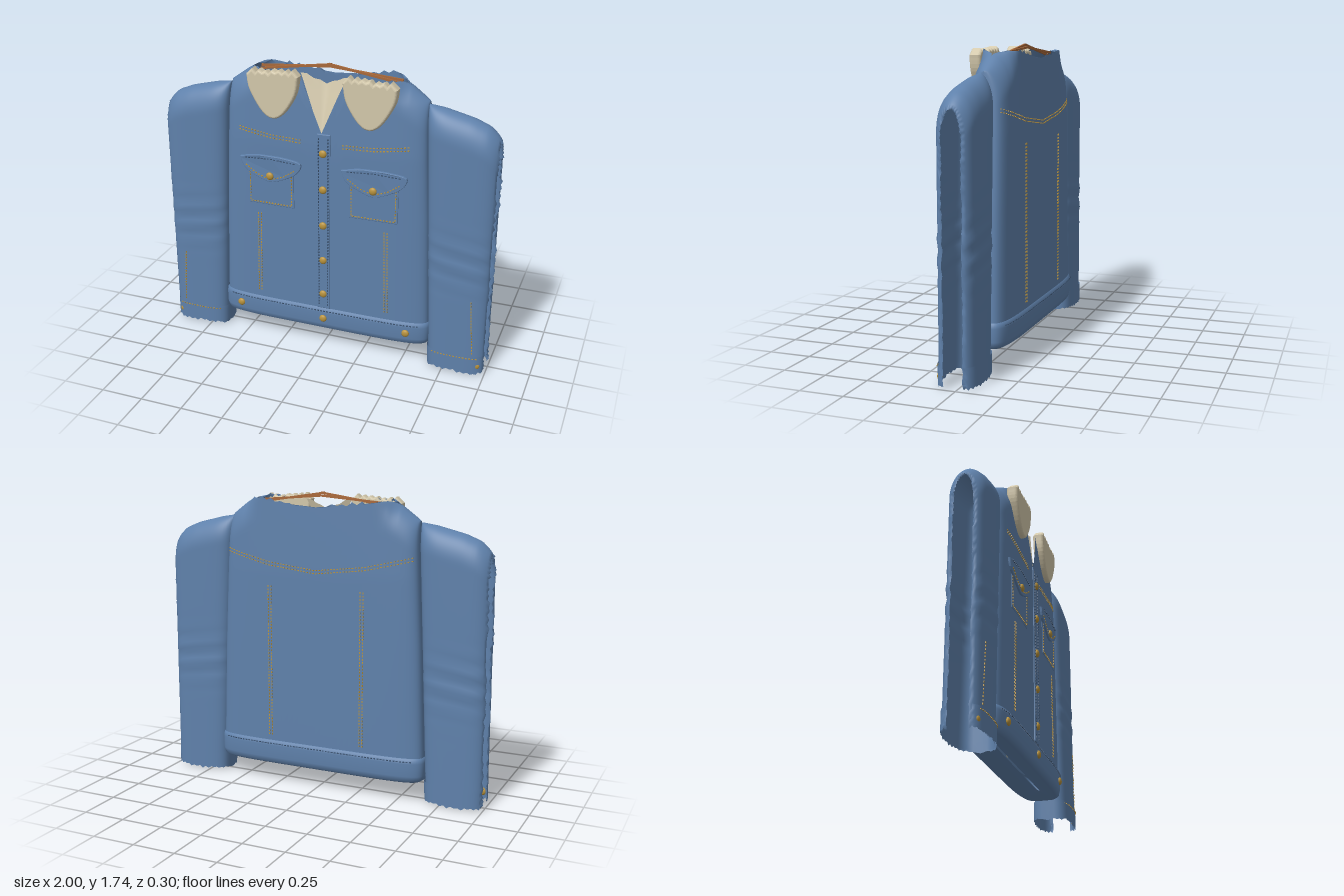
import * as THREE from 'three';
import { mergeGeometries } from 'three/addons/utils/BufferGeometryUtils.js';

const mat = (name, color, side = THREE.FrontSide) => {
  const m = new THREE.MeshStandardMaterial({ color, side });
  m.name = name;
  return m;
};

// Piecewise linear lookup in a short list of [input, output] pairs
function lookup(pts, t) {
  if (t <= pts[0][0]) return pts[0][1];
  for (let i = 1; i < pts.length; i++) {
    const [a, p] = pts[i - 1], [b, q] = pts[i];
    if (t <= b) return p + (q - p) * (t - a) / (b - a);
  }
  return pts[pts.length - 1][1];
}
const jag = (i) => (((Math.sin(i * 12.9898) * 43758.5453) % 1) + (i % 2 ? 0.6 : -0.6)) * 0.6;
const squircle = (t, p) => Math.pow(Math.max(0, 1 - Math.pow(Math.abs(t), p)), 1 / p);
// Rounds a form shut over the last r units below its top edge
const roundOff = (y, top, r) => Math.sqrt(Math.max(0, 1 - Math.max(0, (y - top + r) / r) ** 2));

// Grid surface from a function of (column, row)
function loft(cols, rows, fn) {
  const pos = [], idx = [];
  for (let j = 0; j <= rows; j++) for (let i = 0; i <= cols; i++) pos.push(...fn(i, j));
  for (let j = 0; j < rows; j++) for (let i = 0; i < cols; i++) {
    const a = j * (cols + 1) + i, b = a + 1, c = a + cols + 1, d = c + 1;
    idx.push(a, c, b, b, c, d);
  }
  const g = new THREE.BufferGeometry();
  g.setAttribute('position', new THREE.Float32BufferAttribute(pos, 3));
  g.setIndex(idx);
  g.computeVertexNormals();
  return g;
}

// Torso measurements
const halfWidth = (y) => lookup([[0.13, 0.65], [0.28, 0.645], [0.9, 0.622], [1.6, 0.585]], y);
const depth = (y, s) => s > 0
  ? lookup([[0.2, 0.122], [1.3, 0.122], [1.6, 0.108], [1.74, 0.09]], y)
  : lookup([[0.2, 0.132], [1.3, 0.13], [1.74, 0.115]], y);
function topLine(x, s) {
  const ax = Math.abs(x);
  if (ax > 0.42) return lookup([[0.42, 1.72], [0.48, 1.69], [0.59, 1.61]], ax);
  if (s < 0) return lookup([[0, 1.675], [0.2, 1.69], [0.42, 1.72]], ax);
  return lookup([[0, 1.39], [0.13, 1.7], [0.42, 1.72]], ax);
}
function torsoZ(x, y, s) {
  const open = THREE.MathUtils.clamp((Math.abs(x) - 0.38) / 0.08, 0, 1);
  const shut = 1 - open * (1 - roundOff(y, topLine(x, s), 0.17));
  return s * depth(y, s) * squircle(x / halfWidth(y), 5) * shut;
}

// Sleeve surface: side is +1 or -1, grow swells it for the cuff
const sleeveTop = [[0.58, 1.61], [0.7, 1.59], [0.85, 1.55], [0.93, 1.515], [0.97, 1.475], [1, 1.43]];
function sleevePoint(X, zs, y, grow, top) {
  const inner = 0.655 - 0.07 * Math.min(1, y / 1.6);
  const x = inner - grow + (1 - inner + grow) * (X + 1) / 2;
  const fold = 0.006 * Math.sin(y * 55 + x * 9) * Math.exp(-(((y - 0.72) / 0.14) ** 2));
  const z = 0.018 + zs * (0.104 + grow + fold) * squircle(X, 3.5) * roundOff(y, top, 0.16);
  return [x, y, z];
}
function sleeveGeometry(side, y0, y1, rows, grow) {
  const cols = 48;
  return loft(cols, rows, (i, j) => {
    const a = (i / cols * 2 - 1) * (Math.PI - 0.25);
    const X = -Math.cos(a);
    const xApprox = 0.62 + 0.38 * (X + 1) / 2;
    const top = lookup(sleeveTop, xApprox);
    const t = j / rows;
    let y = y1 ? y0 + (y1 - y0) * t : y0 + (top - y0) * Math.sin(t * Math.PI / 2);
    if (j === 0) y += 0.012 * jag(i);
    const p = sleevePoint(X, Math.sign(a), y, grow, top);
    // Frayed opening down the outer edge
    if (i === 0 || i === cols) p[0] += 0.014 * jag(j + i) - 0.008;
    return [p[0] * side, p[1], p[2]];
  });
}

export function createModel() {
  const root = new THREE.Group();
  root.name = 'jacket';
  const denim = mat('denim blue', 0x5f81ab, THREE.DoubleSide);
  const navy = mat('dark thread', 0x3d5573);
  const cream = mat('cream fleece', 0xd3c8ab, THREE.DoubleSide);
  const gold = mat('brass', 0xb8923c);
  const wood = mat('hanger wood', 0xa9693a);
  const add = (name, geo, m) => {
    const mesh = new THREE.Mesh(geo, m);
    mesh.name = name;
    root.add(mesh);
    return mesh;
  };

  // Torso, open at the neck with a V cut in front
  const cols = 112, rows = 46;
  add('torso', loft(cols, rows, (i, j) => {
    const a = i / cols * Math.PI * 2, s = Math.sin(a) >= 0 ? 1 : -1;
    const v = Math.sin(j / rows * Math.PI / 2);
    const x = halfWidth(0.2 + 1.4 * v) * Math.cos(a);
    const top = topLine(x, s);
    const y = 0.2 + (top - 0.2) * v;
    const fray = j === rows && Math.abs(x) < 0.42 && (s < 0 || Math.abs(x) > 0.13) ? 0.02 * jag(i) : 0;
    return [x, y + fray, torsoZ(x, y, s)];
  }), denim);

  // Waistband with a closed underside
  const band = [[0.165, -0.12], [0.14, -0.05], [0.132, -0.015], [0.145, 0.004], [0.175, 0.011],
    [0.25, 0.012], [0.275, 0.008], [0.285, -0.008]];
  add('waistband', loft(cols, band.length - 1, (i, j) => {
    const a = i / cols * Math.PI * 2, s = Math.sin(a) >= 0 ? 1 : -1, [y, e] = band[j];
    return [(0.643 + e) * Math.cos(a), y, s * (depth(0.2, s) + e) * squircle(Math.cos(a), 5)];
  }), denim);

  // Sleeves and cuffs
  for (const side of [-1, 1]) {
    const n = side > 0 ? 'left' : 'right';
    add(n + 'Sleeve', sleeveGeometry(side, 0.03, 0, 60, 0), denim);
    add(n + 'Cuff', sleeveGeometry(side, 0.025, 0.14, 5, 0.007), denim);
  }

  // Flat panels draped over the front
  const drape = (pts, thick, lift, curved) => {
    const v = pts.map((p) => new THREE.Vector2(...p));
    const shape = new THREE.Shape(curved ? new THREE.SplineCurve([...v, v[0]]).getPoints(40).slice(0, -1) : v);
    const g = new THREE.ExtrudeGeometry(shape, { depth: thick, bevelEnabled: true, bevelSize: 0.004, bevelThickness: 0.004, bevelSegments: 2 });
    const p = g.attributes.position;
    for (let i = 0; i < p.count; i++) p.setZ(i, p.getZ(i) + lift + torsoZ(p.getX(i), p.getY(i), 1));
    g.computeVertexNormals();
    return g;
  };
  add('buttonPlacket', drape([[-0.022, 0.285], [0.05, 0.285], [0.05, 1.385], [-0.022, 1.385]], 0.006, -0.002), denim);
  for (const s of [-1, 1]) {
    const cx = s * 0.312;
    add('pocket', drape([[cx - 0.14, 0.91], [cx + 0.14, 0.91], [cx + 0.14, 1.16], [cx - 0.14, 1.16]], 0.002, -0.002), denim);
    add('pocketFlap', drape([[cx - 0.185, 1.19], [cx - 0.16, 1.13], [cx - 0.08, 1.085], [cx, 1.06], [cx + 0.08, 1.085],
      [cx + 0.16, 1.13], [cx + 0.185, 1.19], [cx + 0.09, 1.21], [cx, 1.213], [cx - 0.09, 1.21]], 0.01, 0, true), denim);
  }

  // Collar lobes with frayed top edges
  for (const s of [-1, 1]) {
    const curve = new THREE.SplineCurve([[0.425, 1.69], [0.41, 1.61], [0.345, 1.5], [0.285, 1.462], [0.225, 1.495], [0.16, 1.6], [0.142, 1.7]]
      .map(([x, y]) => new THREE.Vector2(s * x, y)));
    const pts = curve.getPoints(30);
    for (let i = 1; i < 14; i++) pts.push(new THREE.Vector2(s * (0.142 + i * 0.02), 1.705 + 0.018 * jag(i)));
    const g = new THREE.ExtrudeGeometry(new THREE.Shape(pts), { depth: 0.03, bevelEnabled: true, bevelSize: 0.014, bevelThickness: 0.018, bevelSegments: 4 });
    g.translate(0, 0, 0.098);
    add('collarLobe', g, cream);
  }

  // Fleece lining folding back inside the V
  add('neckLining', loft(8, 8, (i, j) => {
    const u = i / 4 - 1, v = j / 8;
    const x = u * (0.008 + 0.135 * v);
    const fray = j === 8 ? 0.008 * jag(i) : 0;
    return [x, 1.385 + (0.27 + 0.06 * Math.abs(u)) * v + fray, 0.116 - 0.085 * v + 0.03 * v * Math.abs(u)];
  }), cream);

  // Hanger arms in the neck opening
  for (const s of [-1, 1]) for (const [y0, y1, z] of [[1.685, 1.75, -0.02], [1.7, 1.735, -0.034]]) {
    const len = Math.hypot(0.43, y1 - y0);
    const arm = add('hangerArm', new THREE.BoxGeometry(len, 0.012, 0.012), wood);
    arm.position.set(s * 0.205, (y0 + y1) / 2, z);
    arm.rotation.z = -s * Math.atan2(y1 - y0, 0.43);
  }

  // Brass buttons
  const dome = new THREE.SphereGeometry(0.023, 18, 12).scale(1, 1, 0.55);
  const button = (x, y, z) => add('button', dome, gold).position.set(x, y, z);
  for (const y of [1.275, 1.055, 0.83, 0.605, 0.38]) button(0.013, y, torsoZ(0, Math.min(y, 1.3), 1) + 0.011);
  for (const x of [-0.53, 0.013, 0.525]) button(x, 0.213, 0.134 * squircle(x / 0.655, 5) + 0.002);
  for (const s of [-1, 1]) {
    button(s * 0.312, 1.095, torsoZ(0.312, 1.095, 1) + 0.016);
    button(s * 0.95, 0.073, 0.105);
  }

  // Stitch rows: small dashes along a line, set on a surface
  const bits = { brass: [], dark: [] };
  const stitch = (kind, pts, zAt, gap = 0.019) => {
    for (let k = 1; k < pts.length; k++) {
      const [x0, y0] = pts[k - 1], [x1, y1] = pts[k];
      const n = Math.max(1, Math.round(Math.hypot(x1 - x0, y1 - y0) / gap));
      for (let i = 0; i < n; i++) {
        const t = (i + 0.5) / n, x = x0 + (x1 - x0) * t, y = y0 + (y1 - y0) * t;
        bits[kind].push(new THREE.BoxGeometry(0.01, 0.005, 0.006)
          .rotateZ(Math.atan2(y1 - y0, x1 - x0)).translate(x, y, zAt(x, y)));
      }
    }
  };
  const front = (x, y) => torsoZ(x, y, 1) + 0.001;
  const back = (x, y) => torsoZ(x, y, -1) - 0.001;
  const pocketZ = (x, y) => front(x, y) + 0.004;
  const flapZ = (x, y) => front(x, y) + 0.014;
  const bandZ = (x) => 0.134 * squircle(x / 0.655, 5);
  const sleeveZ = (x, y) => sleevePoint((Math.abs(x) - 0.65) / 0.35 * 2 - 1, 1, y, y < 0.14 ? 0.007 : 0, 1.5)[2] + 0.001;
  for (const s of [-1, 1]) {
    const cx = s * 0.312;
    for (const o of [-0.009, 0.009]) {
      stitch('brass', [[s * 0.51, 1.362 + o], [s * 0.3, 1.335 + o], [s * 0.12, 1.328 + o]], front);
      stitch('brass', [[s * 0.388 + o, 0.85], [s * 0.4 + o, 0.32]], front);
      stitch('brass', [[s * 0.29 + o, 1.22], [s * 0.29 + o, 0.31]], back);
      stitch('brass', [[s * 0.58, 1.41 + o], [s * 0.3, 1.345 + o], [0, 1.31 + o]], back);
    }
    stitch('brass', [[cx - 0.13, 1.11], [cx - 0.13, 0.92], [cx + 0.13, 0.92], [cx + 0.13, 1.11]], pocketZ);
    stitch('brass', [[cx - 0.155, 1.15], [cx - 0.08, 1.1], [cx, 1.073], [cx + 0.08, 1.1], [cx + 0.155, 1.15]], flapZ);
    stitch('dark', [[cx - 0.16, 1.19], [cx, 1.2], [cx + 0.16, 1.19]], flapZ);
    stitch('brass', [[s * 0.9, 0.5], [s * 0.925, 0.15]], sleeveZ);
    stitch('brass', [[s * 0.68, 0.125], [s * 0.96, 0.125]], sleeveZ);
  }
  for (const x of [-0.014, 0.042]) stitch('dark', [[x, 0.3], [x, 1.37]], (a, y) => front(a, y) + 0.008);
  stitch('dark', [[-0.6, 0.262], [0.6, 0.262]], bandZ);
  stitch('dark', [[-0.6, 0.262], [0.6, 0.262]], (x) => -0.144 * squircle(x / 0.655, 5));
  add('brassStitching', mergeGeometries(bits.brass), gold);
  add('darkStitching', mergeGeometries(bits.dark), navy);
  return root;
}
